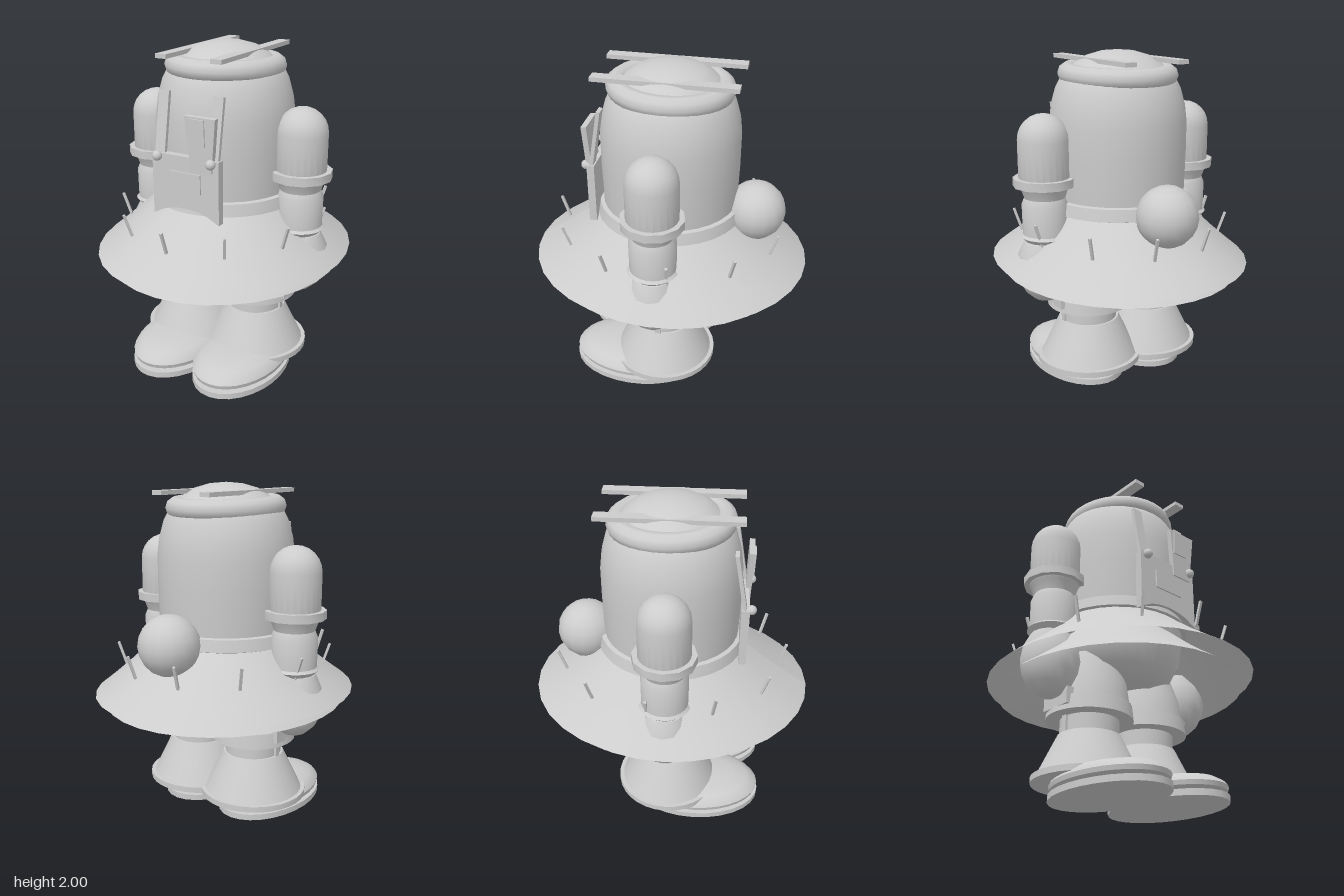
import * as THREE from 'three';
import { toCreasedNormals } from 'three/addons/utils/BufferGeometryUtils.js';

export function createModel() {
  const root = new THREE.Group();
  const grey = new THREE.MeshStandardMaterial({ color: 0xcccccc, side: THREE.DoubleSide });
  grey.name = 'light grey';

  const add = (parent, name, geo, x = 0, y = 0, z = 0) => {
    const m = new THREE.Mesh(geo, grey);
    m.name = name;
    m.position.set(x, y, z);
    parent.add(m);
    return m;
  };
  const lathe = (pts, seg = 32) =>
    toCreasedNormals(new THREE.LatheGeometry(pts.map(p => new THREE.Vector2(p[0], p[1])), seg), 0.6);
  const box = (w, h, d) => new THREE.BoxGeometry(w, h, d);
  const ball = (r, w = 24, h = 16) => new THREE.SphereGeometry(r, w, h);
  // quarter-round profile ending on the axis, from (r, y) up to (0, y + r)
  const dome = (r, y, n = 6) => Array.from({ length: n + 1 }, (_, i) => {
    const a = i / n * Math.PI / 2;
    return [r * Math.cos(a), y + r * Math.sin(a)];
  });

  // torso and head in one shell, with rounded hips below
  add(root, 'body', lathe([[0, 0.7], [0.2, 0.71], [0.32, 0.78], [0.38, 0.9], [0.4, 1.06], [0.405, 1.15], [0.412, 1.4],
    [0.412, 1.58], [0.4, 1.68], [0.372, 1.78], [0.33, 1.86], [0.24, 1.92], [0, 1.95]]));
  add(root, 'headCap', lathe([[0.3, 1.88], [0.25, 1.93], [0.19, 1.965], [0.1, 1.991], [0, 2.0]]));
  const brim = add(root, 'headRing', new THREE.TorusGeometry(0.29, 0.062, 10, 32), 0, 1.86, 0);
  brim.rotation.x = Math.PI / 2 + -0.03;
  brim.scale.set(1, 1.05, 1);
  add(root, 'waistCollar', lathe([[0.405, 1.15], [0.43, 1.145], [0.445, 1.075], [0.4, 1.06]]));

  // two skirt layers: round at the waist, oval at the hem
  const skirt = (name, r0, y0, hemX, hemZ, y1) => {
    const g = new THREE.CylinderGeometry(1, 1, 1, 32, 4, true);
    const p = g.attributes.position;
    for (let i = 0; i < p.count; i++) {
      const t = 0.5 - p.getY(i);
      const bow = 0.012 * Math.sin(Math.PI * t);
      p.setXYZ(i, p.getX(i) * (r0 + (hemX - r0) * t), y0 + (y1 - y0) * t - bow,
        p.getZ(i) * (r0 + (hemZ - r0) * t));
    }
    g.computeVertexNormals();
    add(root, name, g);
  };
  skirt('outerSkirt', 0.41, 1.085, 0.76, 0.85, 0.755);
  skirt('innerSkirt', 0.39, 1.0, 0.705, 0.78, 0.69);

  // ring of eleven pins leaning outward
  for (let i = 0; i < 11; i++) {
    const a = i / 11 * Math.PI * 2;
    const pin = add(root, 'skirtPin', box(0.015, 0.145, 0.015), 0.6 * Math.sin(a), 0.98, 0.682 * Math.cos(a));
    pin.rotation.order = 'YXZ';
    pin.rotation.set(0.32, a, 0);
  }

  // tail ball
  add(root, 'tail', ball(0.18, 16, 10), 0, 1.11, -0.52);

  // bars over the head, front straps and buttons
  for (const s of [1, -1]) {
    add(root, 'headBar', box(0.07, 0.025, 0.82), s * 0.175, 1.947, 0);
    const strap = add(root, 'strap', box(0.066, 0.36, 0.022), s * 0.175, 1.578, 0.402);
    strap.rotation.x = -0.17;
    add(root, 'button', ball(0.029, 12, 8), s * 0.175, 1.4, 0.47);
  }

  // bib with an arched lower edge
  const bibShape = new THREE.Shape();
  bibShape.moveTo(-0.218, 1.415);
  bibShape.lineTo(-0.218, 1.045);
  bibShape.lineTo(-0.14, 1.085);
  bibShape.quadraticCurveTo(0, 1.13, 0.14, 1.085);
  bibShape.lineTo(0.218, 1.045);
  bibShape.lineTo(0.218, 1.415);
  bibShape.closePath();
  const bib = new THREE.ExtrudeGeometry(bibShape, { depth: 0.045, bevelEnabled: false });
  add(root, 'bib', bib, 0, 0, 0.41);
  add(root, 'bibPocket', box(0.205, 0.115, 0.012), 0, 1.267, 0.458);

  // hanging pouch that narrows downward, with small tabs under it
  const pouch = new THREE.Group();
  pouch.name = 'pouch';
  pouch.position.set(0.112, 1.5, 0.455);
  pouch.rotation.x = 0.04;
  root.add(pouch);
  const taper = (w, h, d) => {
    const g = box(w, h, d), p = g.attributes.position;
    for (let i = 0; i < p.count; i++) if (p.getY(i) < 0) p.setX(i, p.getX(i) * 0.68);
    g.computeVertexNormals();
    return g;
  };
  add(pouch, 'pouchBody', taper(0.195, 0.31, 0.032));
  add(pouch, 'pouchFlap', box(0.1, 0.15, 0.012), -0.02, 0.07, 0.018);
  for (let i = 0; i < 5; i++)
    add(pouch, 'pouchTab', box(0.014, 0.035 + 0.008 * (i % 2), 0.014), -0.07 + i * 0.026, -0.17, 0);

  // arms
  const armProfile = [[0, 0.9], [0.1, 0.9], [0.15, 0.95], [0.135, 0.965], [0.137, 1.14], [0.12, 1.18],
    [0.14, 1.235], [0.15, 1.25], ...dome(0.15, 1.515)];
  // legs, from the hip down to the boot flange
  const legProfile = [[0.16, 0.85], [0.215, 0.69], [0.232, 0.56], [0.245, 0.56], [0.255, 0.47], [0.172, 0.47], [0.172, 0.375],
    [0.185, 0.375], [0.3, 0.135], [0.325, 0.135], [0.325, 0.1], [0, 0.1]];

  for (const s of [1, -1]) {
    const arm = new THREE.Group();
    arm.name = s > 0 ? 'leftArm' : 'rightArm';
    arm.position.x = s * 0.5;
    root.add(arm);
    add(arm, 'sleeve', lathe(armProfile, 24));
    add(arm, 'sleeveBand', lathe([[0.14, 1.25], [0.183, 1.25], [0.183, 1.3], [0.14, 1.3]], 12));
    add(arm, 'hand', lathe([[0, 0.545], [0.07, 0.56], [0.125, 0.61], [0.16, 0.68], [0.173, 0.755],
      [0.16, 0.84], [0.12, 0.92], [0, 0.96]], 16), s * 0.01);

    const leg = new THREE.Group();
    leg.name = s > 0 ? 'leftLeg' : 'rightLeg';
    leg.position.x = s * 0.215;
    root.add(leg);
    add(leg, 'trouserLeg', lathe(legProfile));
    add(leg, 'sidePocket', box(0.05, 0.1, 0.21), s * 0.225, 0.55, 0);
    add(leg, 'legStrap', box(0.018, 0.18, 0.035), s * 0.175, 0.45, 0);

    // rounded shoe upper on a flat sole
    const upper = add(leg, 'shoe', lathe([[0, 0.03], [0.86, 0.04], [0.98, 0.06], [1, 0.085], [0.96, 0.105],
      [0.83, 0.135], [0.6, 0.155], [0.3, 0.165], [0, 0.168]]), s * 0.005, 0, 0.175);
    upper.scale.set(0.268, 1, 0.405);
    const sole = add(leg, 'sole', new THREE.CylinderGeometry(1, 1, 0.036, 28), s * 0.005, 0.018, 0.175);
    sole.scale.set(0.27, 1, 0.41);
  }
  return root;
}
